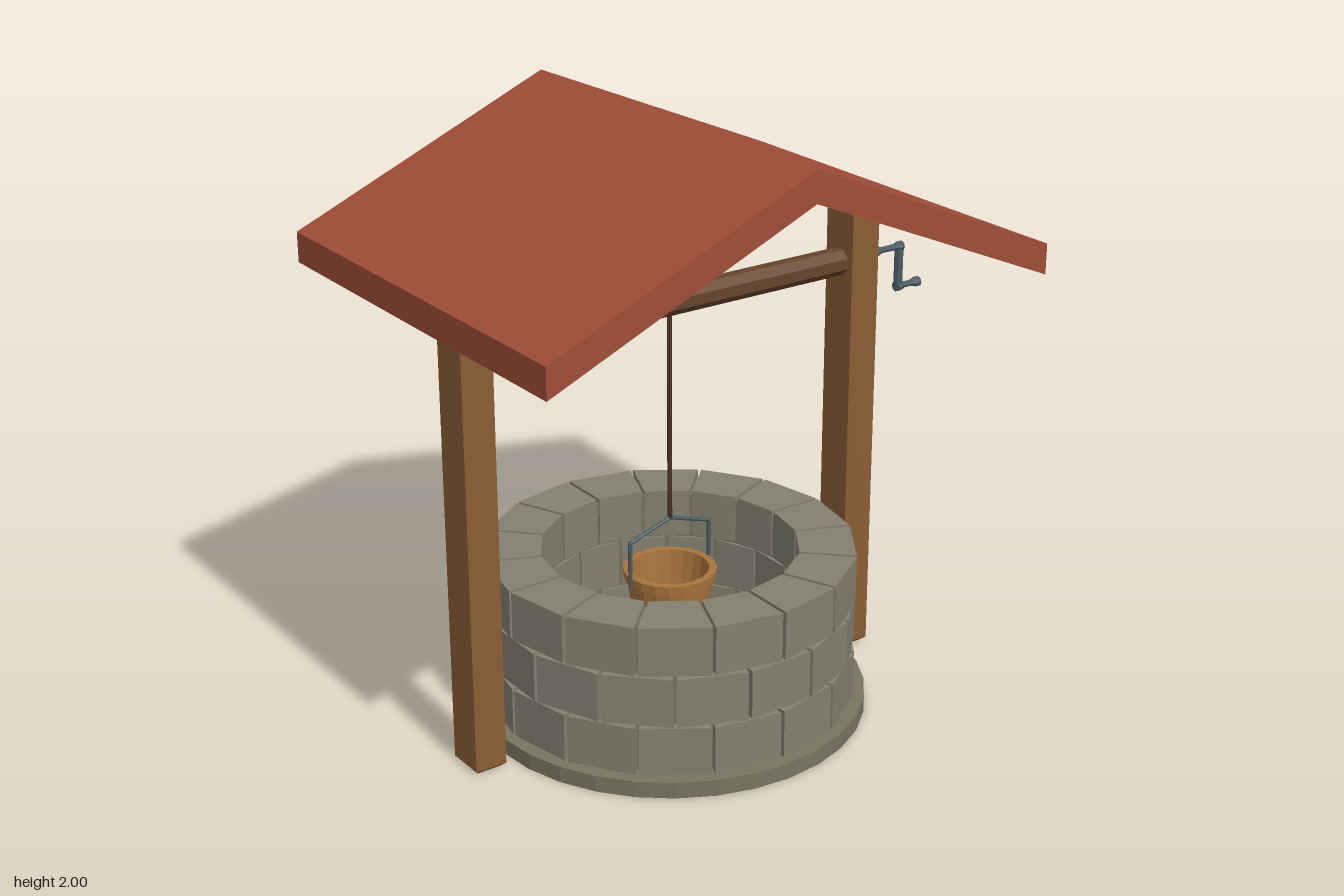
import * as THREE from 'three';

const CX = -0.063; // centre line of the well

const mat = (name, color, extra = {}) => {
  const m = new THREE.MeshStandardMaterial({ color, ...extra });
  m.name = name;
  return m;
};

export function createModel() {
  const stone = mat('stone', 0x838070);
  const darkStone = mat('darkStone', 0x77745f);
  const roofRed = mat('roofRed', 0xa04d38);
  const postWood = mat('postWood', 0x8a5d34);
  const beamWood = mat('beamWood', 0x66442c);
  const ropeBrown = mat('ropeBrown', 0x4a3222);
  const iron = mat('iron', 0x4b5d66);
  const bucketWood = mat('bucketWood', 0xa8733c);
  const water = mat('water', 0x2e5666, { side: THREE.DoubleSide });
  for (const m of [stone, darkStone, roofRed, postWood, beamWood, iron, bucketWood]) m.flatShading = true;

  const model = new THREE.Group();
  model.name = 'well';

  const add = (name, geometry, material, x = CX, y = 0, z = 0, parent = model) => {
    const mesh = new THREE.Mesh(geometry, material);
    mesh.name = name;
    mesh.position.set(x, y, z);
    parent.add(mesh);
    return mesh;
  };
  const shapeOf = (pts) => new THREE.Shape(pts.map(([x, y]) => new THREE.Vector2(x, y)));
  const lathe = (pts, sides) => new THREE.LatheGeometry(pts.map(([r, y]) => new THREE.Vector2(r, y)), sides);
  const ring = (ri, ro, y0, y1, sides) =>
    lathe([[ro, y0], [ro, y1], [ri, y1], [ri, y0], [ro, y0]], sides);

  // Round rod between two points
  const rod = (name, a, b, r, material, sides = 8) => {
    const from = new THREE.Vector3(...a);
    const dir = new THREE.Vector3(...b).sub(from);
    const mesh = add(name, new THREE.CylinderGeometry(r, r, dir.length(), sides), material);
    mesh.position.copy(from).addScaledVector(dir, 0.5);
    mesh.quaternion.setFromUnitVectors(new THREE.Vector3(0, 1, 0), dir.normalize());
    return mesh;
  };

  // Foundation, inner lining and water
  add('foundation', ring(0.36, 0.65, 0, 0.055, 32), darkStone);
  add('lining', ring(0.43, 0.575, 0.055, 0.55, 32), darkStone);
  add('water', new THREE.CircleGeometry(0.435, 32).rotateX(-Math.PI / 2), water, CX, 0.06);

  // Three staggered courses of wedge-shaped stones
  const COUNT = 16;
  const step = (Math.PI * 2) / COUNT;
  const gap = 0.006;
  const corner = (r, side) => {
    const a = side * (step / 2 - gap / r);
    return [r * Math.sin(a), r * Math.cos(a)];
  };
  const wedge = shapeOf([corner(0.425, -1), corner(0.425, 1), corner(0.612, 1), corner(0.612, -1)]);
  const wall = new THREE.Group();
  wall.name = 'stoneWall';
  wall.position.x = CX;
  model.add(wall);
  [[0.056, 0.219], [0.228, 0.393], [0.402, 0.567]].forEach(([y0, y1], row) => {
    const geometry = new THREE.ExtrudeGeometry(wedge, { depth: y1 - y0, bevelEnabled: false });
    geometry.rotateX(-Math.PI / 2);
    for (let i = 0; i < COUNT; i++) {
      const block = add('stoneBlock', geometry, stone, 0, y0, 0, wall);
      block.rotation.y = (i + (row % 2 ? 0 : 0.5)) * step;
    }
  });

  // Posts with chamfered edges
  const bevel = 0.012;
  const px = 0.055 - bevel, pz = 0.067 - bevel;
  const postGeometry = new THREE.ExtrudeGeometry(
    shapeOf([[-px, -pz], [px, -pz], [px, pz], [-px, pz]]),
    { depth: 1.62 - 2 * bevel, bevelThickness: bevel, bevelSize: bevel, bevelSegments: 1 }
  ).rotateX(-Math.PI / 2);
  for (const side of [-1, 1]) {
    add(side > 0 ? 'leftPost' : 'rightPost', postGeometry, postWood, CX + side * 0.74, bevel);
  }

  // Gabled roof
  const w = 0.911;
  const roof = shapeOf([[-w, 1.513], [0, 1.9], [w, 1.513], [w, 1.613], [0, 2], [-w, 1.613]]);
  add('roof', new THREE.ExtrudeGeometry(roof, { depth: 1.45, bevelEnabled: false }), roofRed, CX, 0, -0.725);

  // Winding beam
  const beam = new THREE.CylinderGeometry(0.047, 0.047, 1.4, 8);
  beam.rotateY(Math.PI / 8).rotateZ(Math.PI / 2);
  add('beam', beam, beamWood, CX, 1.405);

  // Crank: shaft, arm and flared handle
  const flared = (length) => lathe(
    [[0, 0], [0.018, 0], [0.018, 0.015], [0.011, 0.035], [0.012, length - 0.03], [0.018, length - 0.01], [0.018, length], [0, length]], 8
  ).rotateZ(-Math.PI / 2);
  add('crankShaft', flared(0.125), iron, 0.765, 1.408);
  rod('crankArm', [0.88, 1.42, 0], [0.88, 1.255, 0], 0.015, iron);
  add('crankHandle', flared(0.1), iron, 0.87, 1.267);

  // Rope and bucket handle
  rod('rope', [CX, 0.655, 0], [CX, 1.39, 0], 0.008, ropeBrown);
  for (const s of [-1, 1]) {
    rod('handleBar', [CX, 0.66, 0], [CX + s * 0.157, 0.61, 0], 0.007, iron, 6);
    rod('handleSide', [CX + s * 0.157, 0.613, 0], [CX + s * 0.157, 0.45, 0], 0.007, iron, 6);
  }

  // Bucket with a thick lip and a hollow inside
  add('bucket', lathe([
    [0, 0.24], [0.115, 0.24], [0.142, 0.45], [0.153, 0.452], [0.155, 0.482],
    [0.13, 0.482], [0.105, 0.27], [0, 0.27],
  ], 20), bucketWood);

  return model;
}
